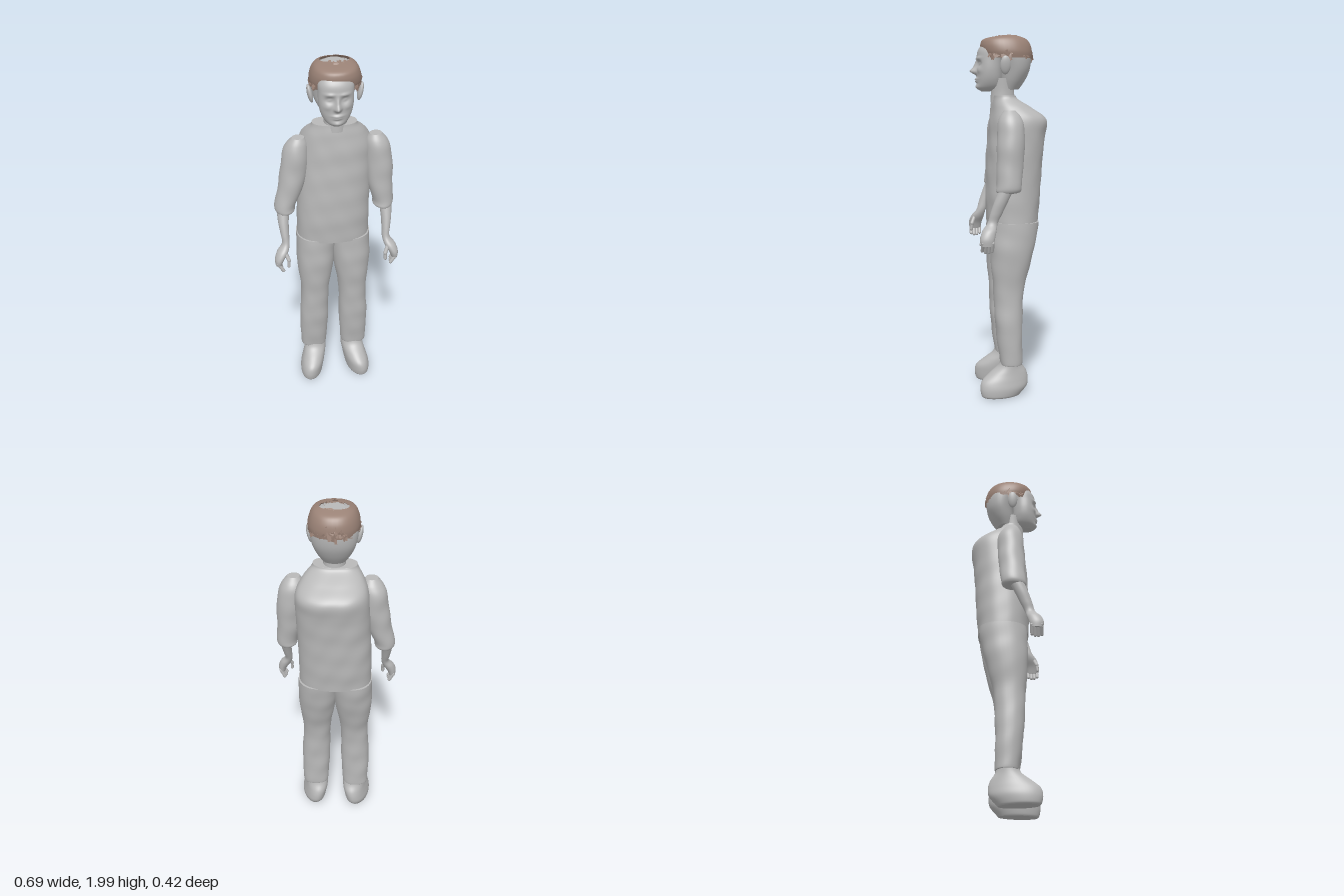
import * as THREE from 'three';
import { mergeGeometries } from 'three/addons/utils/BufferGeometryUtils.js';

const grey = new THREE.MeshStandardMaterial({ color: 0xb8b8b8 });
grey.name = 'plain grey';
const brown = new THREE.MeshStandardMaterial({ color: 0x9a8276, side: THREE.DoubleSide });
brown.name = 'hair brown';

// Smooth curve through rows of numbers
function rowAt(rows, t) {
  const i = Math.min(Math.floor(t), rows.length - 2), f = t - i;
  const a = rows[Math.max(i - 1, 0)], b = rows[i], c = rows[i + 1], d = rows[Math.min(i + 2, rows.length - 1)];
  return b.map((_, k) => {
    const m0 = (c[k] - a[k]) / 2, m1 = (d[k] - b[k]) / 2;
    return b[k] + f * m0 + f * f * (3 * (c[k] - b[k]) - 2 * m0 - m1) + f * f * f * (2 * (b[k] - c[k]) + m0 + m1);
  });
}

// Loft through horizontal sections [y, xMin, xMax, zMin, zMax], listed upwards
function loft(rows, { power = 2, seg = 40, sub = 6, caps = true, warp = null } = {}) {
  const pos = [], idx = [], n = (rows.length - 1) * sub;
  const shape = (v) => Math.sign(v) * Math.abs(v) ** (2 / power);
  const add = (x, y, z) => {
    const p = new THREE.Vector3(x, y, z);
    if (warp) warp(p);
    pos.push(p.x, p.y, p.z);
  };
  const ring = ([y, x0, x1, z0, z1]) => {
    for (let j = 0; j < seg; j++) {
      const a = (j / seg) * Math.PI * 2;
      add((x0 + x1) / 2 + ((x1 - x0) / 2) * shape(Math.cos(a)), y, (z0 + z1) / 2 + ((z1 - z0) / 2) * shape(Math.sin(a)));
    }
  };
  for (let i = 0; i <= n; i++) ring(rowAt(rows, i / sub));
  for (let i = 0; i < n; i++) {
    for (let j = 0; j < seg; j++) {
      const a = i * seg + j, b = i * seg + ((j + 1) % seg), c = a + seg, d = b + seg;
      idx.push(a, c, b, b, c, d);
    }
  }
  if (caps) {
    [rows[0], rows[rows.length - 1]].forEach((r, top) => {
      const s = pos.length / 3;
      ring(r);
      add((r[1] + r[2]) / 2, r[0], (r[3] + r[4]) / 2);
      for (let j = 0; j < seg; j++) {
        const a = s + j, b = s + ((j + 1) % seg);
        idx.push(s + seg, top ? b : a, top ? a : b);
      }
    });
  }
  const g = new THREE.BufferGeometry();
  g.setAttribute('position', new THREE.Float32BufferAttribute(pos, 3));
  g.setIndex(idx);
  g.computeVertexNormals();
  return g;
}

// Rounded finger between two points
function finger(a, b, r) {
  const p = new THREE.Vector3(...a), q = new THREE.Vector3(...b), d = q.clone().sub(p);
  const g = new THREE.CapsuleGeometry(r, d.length(), 4, 10);
  g.applyQuaternion(new THREE.Quaternion().setFromUnitVectors(new THREE.Vector3(0, 1, 0), d.clone().normalize()));
  const m = p.add(q).multiplyScalar(0.5);
  return g.translate(m.x, m.y, m.z);
}

const bump = (p, x, y, sx, sy) => Math.exp(-(((p.x - x) / sx) ** 2) - ((p.y - y) / sy) ** 2);

// Nose, eyes, lips, brows and chin raised on the front of the face
function faceRelief(p) {
  const front = THREE.MathUtils.clamp((p.z - 0.1) / 0.05, 0, 1);
  let d = 0.034 * bump(p, 0, 1.797, 0.013, 0.016) + 0.016 * bump(p, 0, 1.825, 0.01, 0.025);
  d += 0.012 * bump(p, 0, 1.755, 0.026, 0.007) + 0.01 * bump(p, 0, 1.742, 0.022, 0.006);
  d += 0.011 * bump(p, 0, 1.712, 0.025, 0.014);
  for (const s of [-1, 1]) {
    d += -0.016 * bump(p, s * 0.038, 1.836, 0.022, 0.015) + 0.009 * bump(p, s * 0.038, 1.836, 0.013, 0.007);
    d += 0.007 * bump(p, s * 0.038, 1.865, 0.026, 0.008) + 0.006 * bump(p, s * 0.013, 1.792, 0.007, 0.008);
    d += 0.005 * bump(p, s * 0.05, 1.8, 0.02, 0.015);
  }
  p.z += d * front;
}

// Small folds in cloth
function folds(p) {
  const w = 0.0022 * Math.sin(p.y * 38 + p.x * 21) * Math.sin(p.x * 27 - p.y * 9 + p.z * 15);
  p.z += w;
  p.x += w * 0.6;
}

// Ragged flat locks scattered over the crown, leaving a bare patch on top
function locks() {
  let seed = 7;
  const rnd = () => ((seed = (seed * 16807) % 2147483647) / 2147483647);
  const list = [], o = new THREE.Object3D();
  while (list.length < 330) {
    const a = rnd() * Math.PI * 2, h = rnd(), s = Math.sqrt(1 - h * h);
    const n = new THREE.Vector3(Math.cos(a) * s, h, Math.sin(a) * s);
    const x = 0.008 + n.x * 0.13, z = 0.012 + n.z * 0.142;
    if (Math.hypot(x / 0.075, z / 0.045) < 1.1) continue;
    if (z > 0.1 && h < 0.4 && Math.abs(x) < 0.08) continue;
    o.position.set(x, 1.872 + n.y * 0.118, z);
    o.lookAt(o.position.clone().add(n));
    o.rotateZ((rnd() - 0.5) * 2.2);
    o.rotateX((rnd() - 0.5) * 0.35);
    o.rotateY((rnd() - 0.5) * 0.6);
    o.updateMatrix();
    list.push(new THREE.PlaneGeometry(0.008 + rnd() * 0.012, 0.035 + rnd() * 0.025).applyMatrix4(o.matrix));
  }
  return mergeGeometries(list);
}

export function createModel() {
  const model = new THREE.Group();
  const part = (name, geometry, material = grey) => {
    const m = new THREE.Mesh(geometry, material);
    m.name = name;
    model.add(m);
    return m;
  };

  // Shirt with sloping shoulders
  part('shirt', loft([
    [0.97, -0.2, 0.2, -0.158, 0.12], [1.1, -0.2, 0.2, -0.17, 0.127], [1.3, -0.19, 0.205, -0.182, 0.122],
    [1.45, -0.182, 0.21, -0.196, 0.112], [1.54, -0.175, 0.205, -0.203, 0.106], [1.6, -0.15, 0.17, -0.125, 0.098],
    [1.645, -0.12, 0.128, -0.05, 0.09], [1.665, -0.112, 0.12, -0.035, 0.088],
  ], { power: 2.4, seg: 64, sub: 8, warp: folds }));

  // Neck, face, back of the head
  part('neck', loft([[1.63, -0.055, 0.068, -0.035, 0.1], [1.69, -0.052, 0.066, -0.03, 0.098], [1.76, -0.06, 0.07, -0.03, 0.1]]));
  part('face', loft([
    [1.69, -0.025, 0.025, 0.1, 0.15], [1.71, -0.055, 0.055, 0.05, 0.17], [1.75, -0.077, 0.077, 0.04, 0.174],
    [1.8, -0.088, 0.088, 0.038, 0.175], [1.86, -0.09, 0.09, 0.035, 0.175], [1.91, -0.09, 0.09, 0.03, 0.167],
    [1.95, -0.07, 0.07, 0.04, 0.135], [1.965, -0.03, 0.03, 0.06, 0.1],
  ], { power: 2.2, seg: 96, sub: 10, warp: faceRelief }));
  part('skull', loft([
    [1.7, -0.055, 0.065, -0.055, 0.035], [1.75, -0.085, 0.095, -0.09, 0.04], [1.81, -0.108, 0.118, -0.116, 0.045],
    [1.88, -0.117, 0.13, -0.123, 0.07], [1.93, -0.108, 0.123, -0.112, 0.11], [1.965, -0.085, 0.1, -0.08, 0.1],
    [1.98, -0.045, 0.055, -0.045, 0.06],
  ]));

  // Hair
  part('hairCap', loft([
    [1.865, -0.12, 0.136, -0.126, 0.135], [1.9, -0.124, 0.14, -0.127, 0.15], [1.94, -0.116, 0.131, -0.118, 0.155],
    [1.97, -0.098, 0.113, -0.095, 0.135], [1.987, -0.068, 0.082, -0.045, 0.05],
  ], { power: 2.2, caps: false }), brown);
  part('hairLocks', locks(), brown);

  for (const s of [-1, 1]) {
    const side = s > 0 ? 'left' : 'right';
    // Sections are given for the +x side and flipped for the other
    const flip = (rows) => rows.map(([y, a, b, c, d]) => (s > 0 ? [y, a, b, c, d] : [y, -b, -a, c, d]));

    // Ear
    const ear = part(side + 'Ear', new THREE.SphereGeometry(1, 20, 14));
    ear.scale.set(0.014, 0.05, 0.028);
    ear.position.set(s * 0.128 + 0.006, 1.825, 0.035);
    ear.rotation.z = -s * 0.2;

    // Trouser leg
    part(side + 'TrouserLeg', loft(flip([
      [0.185, 0.052, 0.19, -0.055, 0.06], [0.2, 0.045, 0.197, -0.06, 0.066], [0.4, 0.034, 0.2, -0.06, 0.09],
      [0.6, 0.03, 0.19, -0.07, 0.1], [0.78, 0.001, 0.207, -0.115, 0.114], [0.9, -0.012, 0.208, -0.142, 0.114],
      [0.98, -0.015, 0.206, -0.152, 0.11],
    ]), { power: 2.25, sub: 8, warp: folds }));

    // Shoe, toe turned outwards
    part(side + 'Shoe', loft(flip([
      [0, 0.08, 0.195, -0.045, 0.165], [0.012, 0.074, 0.203, -0.055, 0.174], [0.05, 0.066, 0.206, -0.088, 0.18],
      [0.09, 0.06, 0.198, -0.094, 0.17], [0.13, 0.054, 0.188, -0.085, 0.125], [0.17, 0.052, 0.182, -0.06, 0.075],
      [0.22, 0.055, 0.18, -0.045, 0.055],
    ]), { warp: (p) => { p.x += s * 0.14 * (p.z - 0.04); } }));

    // Sleeve; the left shoulder sits slightly further out
    part(side + 'Sleeve', loft(flip([
      [1.155, 0.235, 0.305, 0, 0.09], [1.165, 0.216, 0.322, -0.026, 0.104], [1.2, 0.21, 0.325, -0.032, 0.102],
      [1.3, 0.166, 0.302, -0.042, 0.1], [1.4, 0.14, 0.287, -0.05, 0.096], [1.5, 0.133, 0.27, -0.05, 0.091],
      [1.55, 0.137, 0.25, -0.034, 0.08], [1.585, 0.155, 0.222, -0.004, 0.06],
    ]), {
      sub: 8,
      warp: (p) => {
        folds(p);
        if (s > 0) p.x += 0.034 * THREE.MathUtils.smoothstep(p.y, 1.15, 1.45);
      },
    }));

    // Forearm and palm
    part(side + 'Forearm', loft(flip([
      [0.885, 0.305, 0.34, 0.125, 0.188], [0.92, 0.29, 0.342, 0.117, 0.194], [0.96, 0.266, 0.328, 0.106, 0.182],
      [1.0, 0.256, 0.298, 0.097, 0.152], [1.05, 0.256, 0.303, 0.073, 0.137], [1.11, 0.254, 0.312, 0.045, 0.117],
      [1.18, 0.246, 0.316, 0.01, 0.09],
    ]), { seg: 28 }));

    // Fingers and thumb
    const fingers = [0, 1, 2, 3].map((i) => {
      const z = 0.129 + i * 0.017;
      return finger([s * 0.328, 0.9, z], [s * (0.308 - 0.003 * i), 0.846 + 0.007 * Math.abs(i - 1.5), z + 0.002], 0.0092);
    });
    fingers.push(finger([s * 0.282, 0.955, 0.165], [s * 0.267, 0.92, 0.18], 0.011));
    fingers.push(finger([s * 0.267, 0.92, 0.18], [s * 0.268, 0.885, 0.184], 0.009));
    part(side + 'Fingers', mergeGeometries(fingers));
  }
  return model;
}
